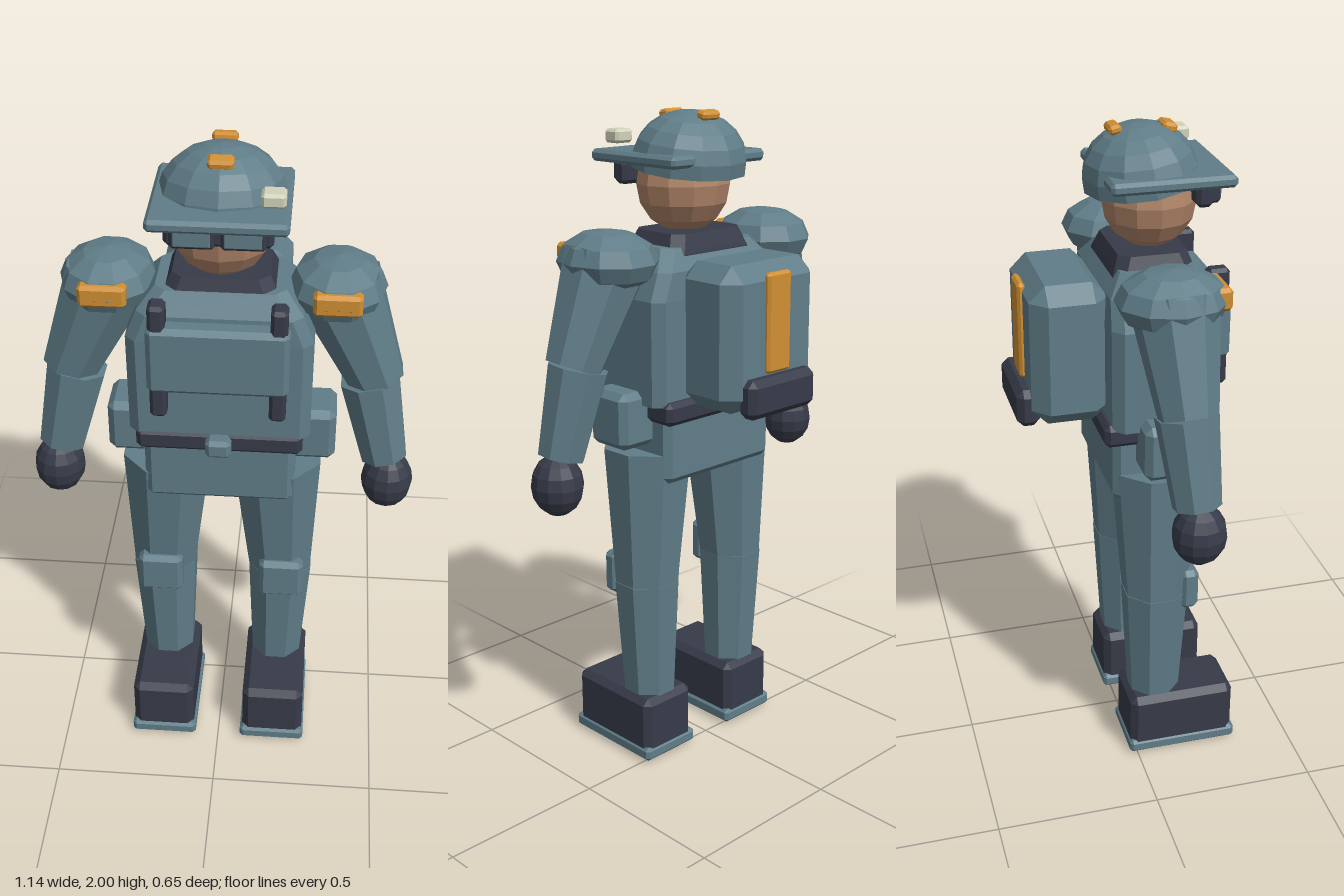
import * as THREE from 'three';
import { ConvexGeometry } from 'three/addons/geometries/ConvexGeometry.js';

const mat = (name, color) => new THREE.MeshStandardMaterial({ name, color, flatShading: true });

export function createModel() {
  const model = new THREE.Group();
  model.name = 'soldier';
  const cloth = mat('blueGreyCloth', 0x607d88);
  const dark = mat('darkLeather', 0x373b49);
  const skin = mat('skin', 0xb08468);
  const orange = mat('orange', 0xd08f33);
  const lamp = mat('lampCream', 0xd2d3bb);

  const add = (name, geo, material, x = 0, y = 0, z = 0) => {
    const m = new THREE.Mesh(geo, material);
    m.name = name;
    m.position.set(x, y, z);
    model.add(m);
    return m;
  };

  // Box given by its limits, with every edge chamfered by c
  const block = (name, material, [x0, x1], [y0, y1], [z0, z1], c = 0.012) => {
    const h = [(x1 - x0) / 2, (y1 - y0) / 2, (z1 - z0) / 2];
    const pts = [];
    for (const sx of [-1, 1]) for (const sy of [-1, 1]) for (const sz of [-1, 1]) {
      for (let k = 0; k < 3; k++) {
        const p = h.map((v, i) => (i === k ? v : v - c));
        pts.push(new THREE.Vector3(p[0] * sx, p[1] * sy, p[2] * sz));
      }
    }
    return add(name, new ConvexGeometry(pts), material, (x0 + x1) / 2, (y0 + y1) / 2, (z0 + z1) / 2);
  };

  // Convex stack of chamfered rectangles: [y, half width, half depth, chamfer]
  const stack = (name, material, rings, z) => {
    const pts = [];
    for (const [y, hx, hz, c] of rings) for (const sx of [-1, 1]) for (const sz of [-1, 1]) {
      pts.push(new THREE.Vector3(sx * hx, y, sz * (hz - c)), new THREE.Vector3(sx * (hx - c), y, sz * hz));
    }
    return add(name, new ConvexGeometry(pts), material, 0, 0, z);
  };

  // Eight-sided tapered limb between two points
  const limb = (name, a, b, ra, rb) => {
    const A = new THREE.Vector3(...a), B = new THREE.Vector3(...b);
    const dir = A.clone().sub(B), k = 1 / Math.cos(Math.PI / 8);
    const geo = new THREE.CylinderGeometry(ra * k, rb * k, dir.length(), 8);
    geo.rotateY(Math.PI / 8);
    const m = add(name, geo, cloth);
    m.position.copy(A).add(B).multiplyScalar(0.5);
    m.quaternion.setFromUnitVectors(new THREE.Vector3(0, 1, 0), dir.normalize());
    return m;
  };

  const ball = (name, material, [x, y, z], [rx, ry, rz], w = 12, h = 8) =>
    add(name, new THREE.SphereGeometry(1, w, h).scale(rx, ry, rz), material, x, y, z);

  // Torso, hips and belt
  stack('torso', cloth, [[1.17, 0.26, 0.153, 0.03], [1.48, 0.262, 0.155, 0.03], [1.56, 0.23, 0.15, 0.03], [1.62, 0.18, 0.11, 0.03]], 0.08);
  block('pelvis', cloth, [-0.22, 0.22], [0.925, 1.2], [-0.065, 0.22], 0.02);
  block('belt', dark, [-0.24, 0.24], [1.115, 1.185], [-0.095, 0.24], 0.015);
  block('buckle', cloth, [-0.037, 0.037], [1.12, 1.177], [0.22, 0.278]);
  block('chestPlate', cloth, [-0.197, 0.197], [1.343, 1.55], [0.22, 0.287], 0.015);
  stack('collar', dark, [[1.56, 0.165, 0.125, 0.03], [1.6, 0.16, 0.12, 0.03], [1.615, 0.15, 0.115, 0.03], [1.655, 0.135, 0.1, 0.03]], 0.075);

  // Head and helmet
  ball('head', skin, [0, 1.785, 0.092], [0.146, 0.148, 0.138]);
  const dome = new THREE.SphereGeometry(1, 12, 6, 0, Math.PI * 2, 0, Math.PI * 0.55).scale(0.178, 0.147, 0.167);
  const shell = cloth.clone();
  shell.name = 'helmetShell';
  shell.side = THREE.DoubleSide;
  add('helmet', dome, shell, 0, 1.848, 0.067).rotation.x = -0.13;
  block('helmetBrim', cloth, [-0.187, 0.187], [1.845, 1.88], [-0.062, 0.295], 0.01);
  block('helmetFrontMark', orange, [-0.035, 0.035], [1.965, 1.993], [0.122, 0.165], 0.008).rotation.x = 0.2;
  block('helmetBackMark', orange, [-0.035, 0.035], [1.97, 1.996], [-0.03, 0.007], 0.008).rotation.x = -0.2;
  block('helmetLamp', lamp, [0.11, 0.175], [1.9, 1.94], [0.187, 0.245], 0.008);
  block('goggleFrame', dark, [-0.145, 0.145], [1.78, 1.85], [0.19, 0.24]);

  // Backpack
  block('backpack', cloth, [-0.185, 0.185], [1.17, 1.595], [-0.288, -0.06], 0.047);
  block('backpackRoll', dark, [-0.137, 0.137], [1.16, 1.275], [-0.328, -0.26], 0.02);
  block('backpackStripe', orange, [-0.048, 0.048], [1.28, 1.57], [-0.302, -0.278], 0.008);

  // Mirrored parts
  for (const s of [1, -1]) {
    const side = s > 0 ? 'left' : 'right';
    const span = (a, b) => (s > 0 ? [a, b] : [-b, -a]);

    // Goggle lenses
    block(side + 'GoggleCup', dark, span(0.008, 0.127), [1.786, 1.848], [0.23, 0.265], 0.008);
    block(side + 'GoggleLens', cloth, span(0.018, 0.116), [1.796, 1.84], [0.262, 0.269], 0.002);

    // Chest strap and hip pouch
    block(side + 'ChestStrap', dark, span(0.143, 0.19), [1.26, 1.615], [0.215, 0.28], 0.01);
    block(side + 'HipPouch', cloth, span(0.2, 0.335), [1.04, 1.21], [0.0, 0.155], 0.02);

    // Arm
    ball(side + 'Shoulder', cloth, [s * 0.32, 1.595, 0.07], [0.137, 0.09, 0.16], 10, 6);
    block(side + 'ShoulderBadge', orange, span(0.253, 0.387), [1.572, 1.637], [0.17, 0.222], 0.01);
    limb(side + 'UpperArm', [s * 0.32, 1.6, 0.075], [s * 0.445, 1.3, 0.085], 0.118, 0.078);
    limb(side + 'Forearm', [s * 0.425, 1.3, 0.085], [s * 0.482, 1.04, 0.105], 0.084, 0.065);
    ball(side + 'Hand', dark, [s * 0.495, 0.957, 0.11], [0.077, 0.093, 0.08]);

    // Leg
    limb(side + 'Thigh', [s * 0.165, 1.01, 0.08], [s * 0.183, 0.58, 0.073], 0.13, 0.095);
    limb(side + 'Shin', [s * 0.183, 0.585, 0.073], [s * 0.178, 0.19, 0.073], 0.097, 0.076);
    block(side + 'KneePad', cloth, span(0.12, 0.257), [0.525, 0.66], [0.14, 0.197], 0.015);
    block(side + 'Boot', dark, span(0.08, 0.275), [0, 0.212], [-0.02, 0.317], 0.02);
    block(side + 'Sole', cloth, span(0.073, 0.28), [0.006, 0.05], [-0.025, 0.325], 0.01);
    block(side + 'SoleTread', dark, span(0.098, 0.257), [0, 0.008], [0.0, 0.297], 0.002);
  }
  return model;
}
